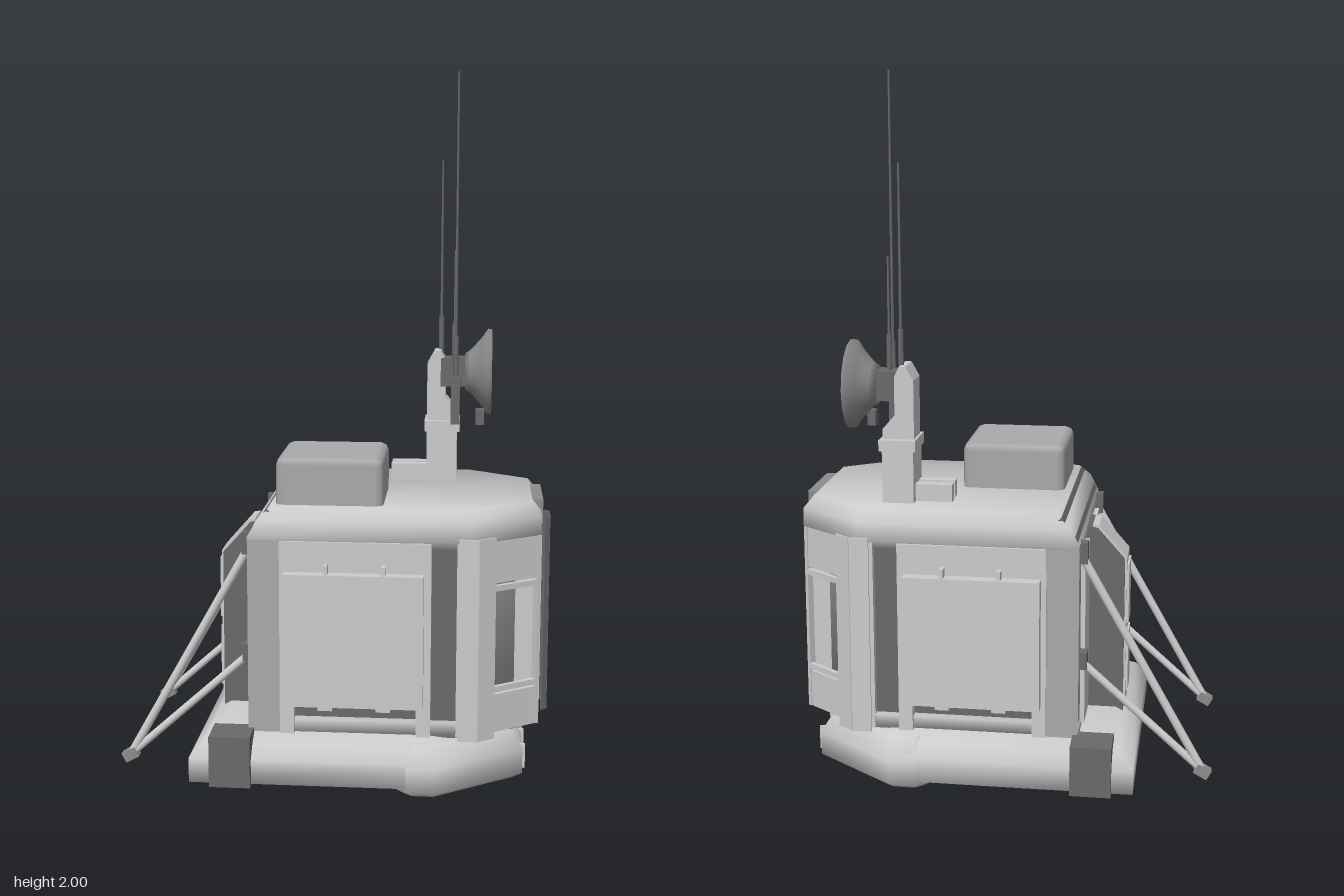
import * as THREE from 'three';
import { RoundedBoxGeometry } from 'three/addons/geometries/RoundedBoxGeometry.js';

const tone = color => new THREE.MeshStandardMaterial({ color, side: THREE.DoubleSide });
const GREY = tone(0xcccccc), SOFT = tone(0xaaaaaa), MID = tone(0x8c8c8c), DARK = tone(0x6a6a6a);

export function createModel() {
  const root = new THREE.Group();
  const add = (name, geo, x = 0, y = 0, z = 0, mat = GREY) => {
    const m = new THREE.Mesh(geo, mat);
    m.name = name;
    m.position.set(x, y, z);
    root.add(m);
    return m;
  };
  // Box given by its limits on each axis
  const box = (name, x0, x1, y0, y1, z0, z1, mat) =>
    add(name, new THREE.BoxGeometry(x1 - x0, y1 - y0, Math.abs(z1 - z0)), (x0 + x1) / 2, (y0 + y1) / 2, (z0 + z1) / 2, mat);
  // Upright slab standing on the ground-plan line p-q
  const slab = (name, p, q, y0, y1, t, mat) => {
    const dx = q[0] - p[0], dz = q[1] - p[1];
    const m = add(name, new THREE.BoxGeometry(Math.hypot(dx, dz), y1 - y0, t), (p[0] + q[0]) / 2, (y0 + y1) / 2, (p[1] + q[1]) / 2, mat);
    m.rotation.y = Math.atan2(-dz, dx);
    return m;
  };
  // Round bar between two points
  const rod = (name, a, b, r, sides, r2 = r, mat = GREY) => {
    const A = new THREE.Vector3(...a), B = new THREE.Vector3(...b), d = B.clone().sub(A);
    const m = add(name, new THREE.CylinderGeometry(r2, r, d.length(), sides), 0, 0, 0, mat);
    m.position.copy(A).add(B).multiplyScalar(0.5);
    m.quaternion.setFromUnitVectors(new THREE.Vector3(0, 1, 0), d.normalize());
    return m;
  };
  // Side profile in x and y, extruded between two z positions
  const extrude = (name, points, z0, z1, mat) =>
    add(name, new THREE.ExtrudeGeometry(new THREE.Shape(points.map(p => new THREE.Vector2(...p))), { depth: z1 - z0, bevelEnabled: false }), 0, 0, z0, mat);
  // Half plan mirrored in z, stacked in levels [y, inset, backX], with normals softened across the edges
  const loft = (name, half, levels, mat) => {
    const full = [...half, ...half.map(([x, z]) => [x, -z]).reverse()], n = full.length;
    const normal = (a, b) => {
      const dx = b[0] - a[0], dz = b[1] - a[1], l = Math.hypot(dx, dz);
      return [-dz / l, dx / l];
    };
    const points = levels.flatMap(([y, inset, back]) => full.map((p, i) => {
      const n1 = normal(full[(i + n - 1) % n], p), n2 = normal(p, full[(i + 1) % n]);
      const k = inset / (1 + n1[0] * n2[0] + n1[1] * n2[1]);
      const x = back !== undefined && (i === 0 || i === n - 1) ? back : p[0] - (n1[0] + n2[0]) * k;
      return new THREE.Vector3(x, y, p[1] - (n1[1] + n2[1]) * k);
    }));
    const index = [], normals = points.map(() => new THREE.Vector3());
    const face = ids => {
      const [a, b, c] = ids.map(i => points[i]);
      const f = b.clone().sub(a).cross(c.clone().sub(a)).normalize();
      ids.forEach(i => normals[i].add(f));
      for (let i = 1; i + 1 < ids.length; i++) index.push(ids[0], ids[i], ids[i + 1]);
    };
    for (let l = 0; l + 1 < levels.length; l++)
      for (let i = 0; i < n; i++) {
        const j = (i + 1) % n, a = l * n, b = a + n;
        face([a + i, a + j, b + j, b + i]);
      }
    const ring = full.map((_, i) => i);
    face(ring.map(i => (levels.length - 1) * n + i));
    face(ring.reverse());
    const g = new THREE.BufferGeometry().setFromPoints(points);
    g.setAttribute('normal', new THREE.Float32BufferAttribute(normals.flatMap(v => v.normalize().toArray()), 3));
    g.setIndex(index);
    return add(name, g, 0, 0, 0, mat);
  };

  // Chassis and front cowl
  loft('chassis', [[-0.4, 0.39], [0.26, 0.39], [0.5, 0.22]], [[0.03, 0], [0.1, 0], [0.135, 0.035], [0.155, 0.07]]);
  loft('frontCowl', [[0.17, 0.36], [0.21, 0.395], [0.29, 0.395], [0.53, 0.22]], [[0, 0.03], [0.02, 0], [0.09, 0], [0.145, 0.04]]);
  for (const z of [-0.2, -0.08, 0.08, 0.2]) box('cowlRib', 0.5, 0.538, 0.03, 0.1, z - 0.005, z + 0.005);

  // Cabin core, sill and roof
  const plan = [[-0.24, 0.33], [0.38, 0.33], [0.575, 0.19]];
  loft('cabinCore', plan, [[0.14, 0.05, -0.23], [0.72, 0.05, -0.23]], MID);
  loft('sill', plan, [[0.14, 0.045, -0.24], [0.165, 0.015, -0.24], [0.2, 0.005, -0.24]]);
  loft('roof', plan, [[0.69, 0.02, -0.24], [0.715, 0, -0.24], [0.765, 0.002, -0.215], [0.8, 0.03, -0.18]]);
  add('rearRoofBar', new THREE.BoxGeometry(0.08, 0.012, 0.62), -0.207, 0.759, 0, DARK).rotation.z = 0.95;

  for (const s of [1, -1]) {
    // Side wall, recess and door
    box('rearSidePost', -0.24, -0.15, 0.16, 0.72, 0.27 * s, 0.325 * s, SOFT);
    box('sideWall', -0.15, 0.27, 0.25, 0.71, 0.27 * s, 0.335 * s);
    box('stepRecess', -0.11, 0.23, 0.16, 0.25, 0.26 * s, 0.3 * s, DARK);
    box('sideStep', -0.15, -0.11, 0.16, 0.25, 0.27 * s, 0.335 * s);
    box('sideStep', 0.23, 0.27, 0.16, 0.25, 0.27 * s, 0.335 * s);
    box('sideDoor', -0.135, 0.25, 0.25, 0.625, 0.335 * s, 0.37 * s);
    for (const x of [-0.02, 0.14]) {
      box('doorHinge', x - 0.006, x + 0.006, 0.61, 0.65, 0.33 * s, 0.365 * s);
      box('doorLatch', x - 0.02, x + 0.02, 0.24, 0.255, 0.34 * s, 0.368 * s);
    }
    box('sidePost', 0.27, 0.34, 0.16, 0.71, 0.27 * s, 0.305 * s, DARK);
    box('cornerPost', 0.34, 0.38, 0.16, 0.71, 0.27 * s, 0.328 * s);

    // Bent corner guard
    slab('cornerGuard', [0.345, 0.356 * s], [0.4, 0.356 * s], 0.16, 0.73, 0.006);
    slab('cornerGuard', [0.4, 0.356 * s], [0.445, 0.322 * s], 0.16, 0.73, 0.006);
    for (const y of [0.24, 0.64]) slab('guardBracket', [0.4, 0.355 * s], [0.375, 0.31 * s], y, y + 0.02, 0.008);

    // Diagonal window bay
    const at = (u, out) => [0.38 + 0.195 * u + 0.583 * out, (0.33 - 0.14 * u + 0.812 * out) * s];
    const bay = (name, u0, u1, y0, y1, out, t) => slab(name, at(u0, out), at(u1, out), y0, y1, t);
    bay('bayPost', 0.02, 0.34, 0.16, 0.71, -0.027, 0.05);
    bay('bayPost', 0.95, 1, 0.16, 0.71, -0.027, 0.05);
    bay('bayHeader', 0.3, 0.96, 0.59, 0.71, -0.03, 0.05);
    bay('bayFooter', 0.3, 0.96, 0.16, 0.27, -0.03, 0.05);
    for (const y of [0.285, 0.575]) bay('windowRail', 0.34, 0.95, y - 0.008, y + 0.008, -0.008, 0.014);

    // Front panel with upright handle
    box('frontPanel', 0.5, 0.565, 0.16, 0.72, 0.06 * s, 0.18 * s);
    box('frontPanelFrame', 0.56, 0.575, 0.19, 0.7, 0.165 * s, 0.185 * s);
    box('frontPanelFrame', 0.56, 0.575, 0.19, 0.7, 0.06 * s, 0.075 * s);
    add('frontHandle', new THREE.CapsuleGeometry(0.014, 0.35, 3, 14), 0.565, 0.41, 0.115 * s, MID);
    slab('frontGuard', [0.602, 0.036 * s], [0.588, 0.05 * s], 0.15, 0.73, 0.006, DARK);

    // Rear corner block on the chassis
    box('cornerBlock', -0.34, -0.225, 0.025, 0.17, 0.3 * s, 0.41 * s, DARK);

    // Rear strut pair with foot
    const foot = [-0.59, 0.06, 0.27 * s];
    rod('upperStrut', [-0.23, 0.7, 0.27 * s], foot, 0.012, 16);
    rod('lowerStrut', [-0.23, 0.38, 0.27 * s], foot, 0.011, 16);
    box('strutMount', -0.26, -0.23, 0.66, 0.72, 0.25 * s, 0.29 * s, DARK);
    box('strutMount', -0.26, -0.23, 0.35, 0.4, 0.25 * s, 0.29 * s, DARK);
    add('strutFoot', new THREE.BoxGeometry(0.042, 0.03, 0.028), ...foot, MID).rotation.z = 0.5;

    // Rear wall panel
    box('rearPanel', -0.25, -0.22, 0.17, 0.68, 0.1 * s, 0.235 * s);
  }
  slab('frontGuard', [0.602, -0.036], [0.602, 0.036], 0.15, 0.73, 0.006, DARK);
  for (const y of [0.22, 0.64]) box('guardBracket', 0.52, 0.6, y, y + 0.02, -0.015, 0.015, DARK);
  box('frontRoofPlate', 0.52, 0.58, 0.725, 0.795, -0.11, 0.11, MID);

  // Rear equipment box with a sloping cover
  extrude('rearBox', [[-0.23, 0.14], [-0.23, 0.71], [-0.27, 0.7], [-0.35, 0.61], [-0.35, 0.14]], -0.07, 0.065, DARK);
  extrude('rearBoxCover', [[-0.255, 0.7], [-0.255, 0.71], [-0.273, 0.707], [-0.356, 0.613], [-0.356, 0.16], [-0.345, 0.16], [-0.345, 0.6]], -0.06, 0.055);
  for (const [y0, y1] of [[0.2, 0.38], [0.41, 0.59]]) box('rearBoxPanel', -0.362, -0.35, y0, y1, -0.05, 0.045);

  // Roof box
  add('roofBox', new RoundedBoxGeometry(0.3, 0.16, 0.3, 1, 0.022), -0.017, 0.853, 0.123, SOFT);

  // Mast
  box('mastBase', 0.24, 0.33, 0.79, 0.96, -0.23, -0.11);
  box('mastCollar', 0.233, 0.338, 0.95, 0.982, -0.237, -0.105);
  extrude('mastNeck', [[0.24, 0.98], [0.33, 0.98], [0.33, 1.01], [0.295, 1.05], [0.295, 1.16], [0.28, 1.19], [0.262, 1.19], [0.24, 1.15]], -0.215, -0.125);
  for (const z of [-0.185, -0.133]) box('mastFootBar', 0.135, 0.245, 0.79, 0.85, z - 0.016, z + 0.016);

  // Dish and its mount
  const dishY = 1.127, dishZ = -0.155;
  box('dishMount', 0.28, 0.36, 1.085, 1.17, dishZ - 0.035, dishZ + 0.035, DARK);
  const profile = [[0, -0.075], [0.055, -0.075], [0.064, -0.06], [0.1, -0.027], [0.128, -0.008], [0.128, 0.004], [0.118, 0.004], [0.09, -0.02], [0.05, -0.045], [0, -0.05]];
  add('dish', new THREE.LatheGeometry(profile.map(p => new THREE.Vector2(...p)), 16), 0.427, dishY, dishZ, MID).rotation.z = -Math.PI / 2;
  rod('dishHub', [0.37, dishY, dishZ], [0.405, dishY, dishZ], 0.055, 16, 0.055, DARK);
  for (let i = 0; i < 8; i++) {
    const a = (i + 0.5) * Math.PI / 4;
    add('dishRib', new THREE.BoxGeometry(0.016, 0.04, 0.025), 0.411, dishY + 0.08 * Math.cos(a), dishZ + 0.08 * Math.sin(a), SOFT).rotation.x = a;
  }
  box('sensorArm', 0.31, 0.34, 1.09, 1.12, -0.125, -0.055, DARK);
  box('sensor', 0.312, 0.338, 0.985, 1.1, -0.09, -0.03, DARK);
  box('dishSensor', 0.385, 0.41, 0.985, 1.03, -0.06, -0.025, DARK);

  // Whip antennas
  for (const [x, z, y0, y1] of [[0.325, -0.083, 1.1, 2], [0.28, -0.185, 1.15, 1.75], [0.32, -0.155, 1.13, 1.49]]) {
    rod('antennaBase', [x, y0, z], [x, y0 + 0.14, z], 0.008, 8, 0.008, DARK);
    rod('antenna', [x, y0, z], [x, y1, z], 0.005, 6, 0.003, DARK);
  }
  return root;
}
